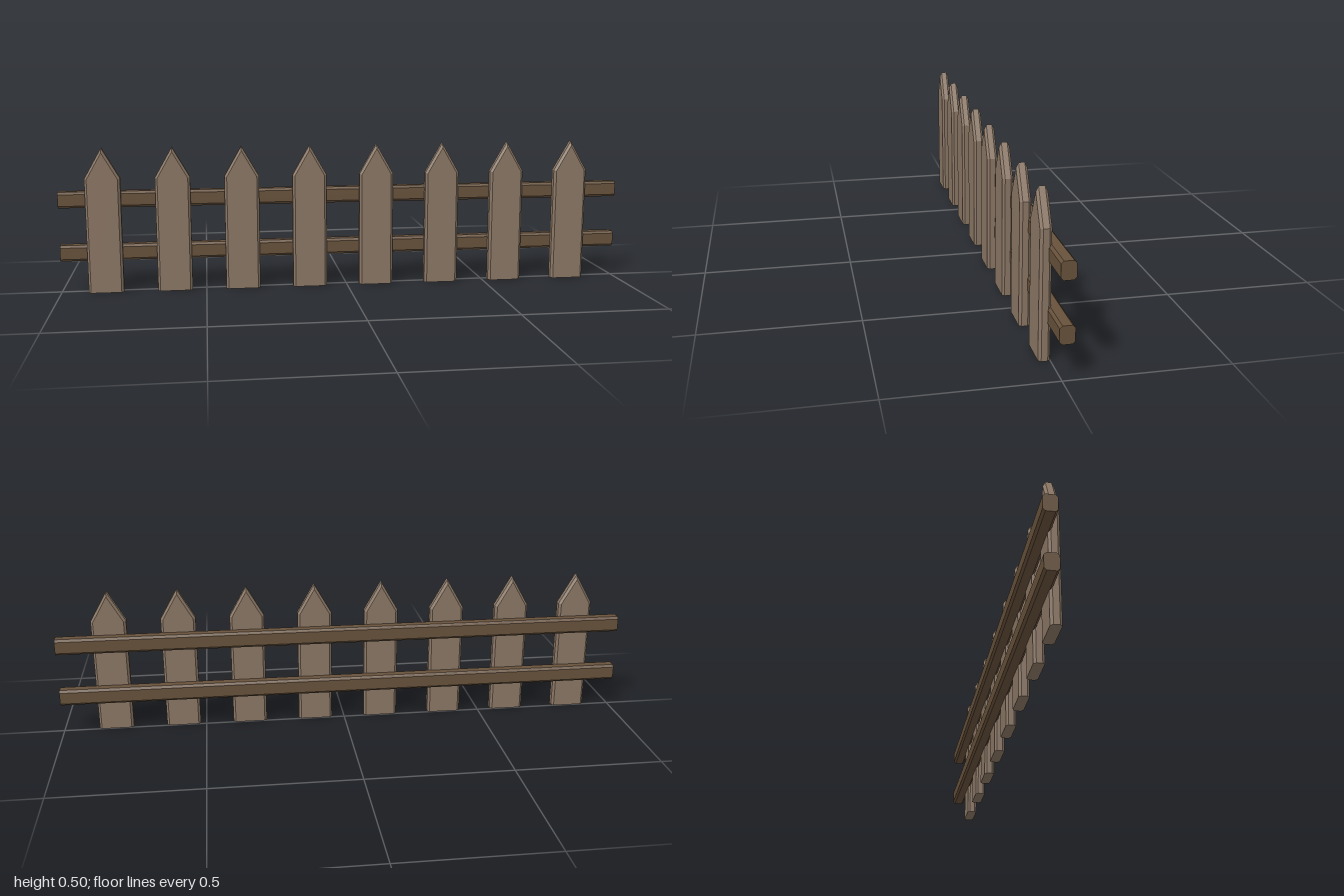
import * as THREE from 'three';

const picketWood = new THREE.MeshStandardMaterial({ color: 0x8a7664, flatShading: true });
const railWood = new THREE.MeshStandardMaterial({ color: 0x67513b, flatShading: true });

const polygon = (points) => new THREE.Shape(points.map(([x, y]) => new THREE.Vector2(x, y)));

// Pointed board with chamfered side and top edges, flat at the foot
function picketGeometry() {
  const half = 0.06, shoulder = 0.4, tip = 0.505, depth = 0.035, chamfer = 0.008;
  const shape = polygon([[-half, 0], [half, 0], [half, shoulder], [0, tip], [-half, shoulder]]);
  const geometry = new THREE.ExtrudeGeometry(shape, { depth: 3, steps: 3, bevelEnabled: false });
  const layers = [0, chamfer, depth - chamfer, depth];
  const p = geometry.attributes.position;
  for (let i = 0; i < p.count; i++) {
    const layer = Math.round(p.getZ(i));
    p.setZ(i, layers[layer]);
    // The outermost layers are drawn in to form the chamfer
    if (layer === 0 || layer === 3) {
      const y = p.getY(i);
      p.setX(i, p.getX(i) * (half - chamfer) / half);
      if (y > shoulder + 0.05) p.setY(i, y - 0.016);
      else if (y > 0.1) p.setY(i, y - 0.002);
    }
  }
  geometry.computeVertexNormals();
  return geometry;
}

// Long beam with an octagonal section, running along x
function railGeometry() {
  const w = 0.0225, h = 0.028, c = 0.008;
  const shape = polygon([
    [-w + c, -h], [w - c, -h], [w, -h + c], [w, h - c],
    [w - c, h], [-w + c, h], [-w, h - c], [-w, -h + c],
  ]);
  const geometry = new THREE.ExtrudeGeometry(shape, { depth: 2, bevelEnabled: false });
  return geometry.translate(0, 0, -1).rotateY(Math.PI / 2);
}

export function createModel() {
  const fence = new THREE.Group();
  fence.name = 'picketFence';

  // Eight evenly spaced pickets
  const board = picketGeometry();
  for (let i = 0; i < 8; i++) {
    const picket = new THREE.Mesh(board, picketWood);
    picket.name = `picket${i + 1}`;
    picket.position.x = -0.846 + i * 0.2377;
    fence.add(picket);
  }

  // Two rails behind the pickets, sunk slightly into them
  const beam = railGeometry();
  for (const [name, y] of [['lowerRail', 0.137], ['upperRail', 0.324]]) {
    const rail = new THREE.Mesh(beam, railWood);
    rail.name = name;
    rail.position.set(0, y, -0.0125);
    fence.add(rail);
  }
  return fence;
}
